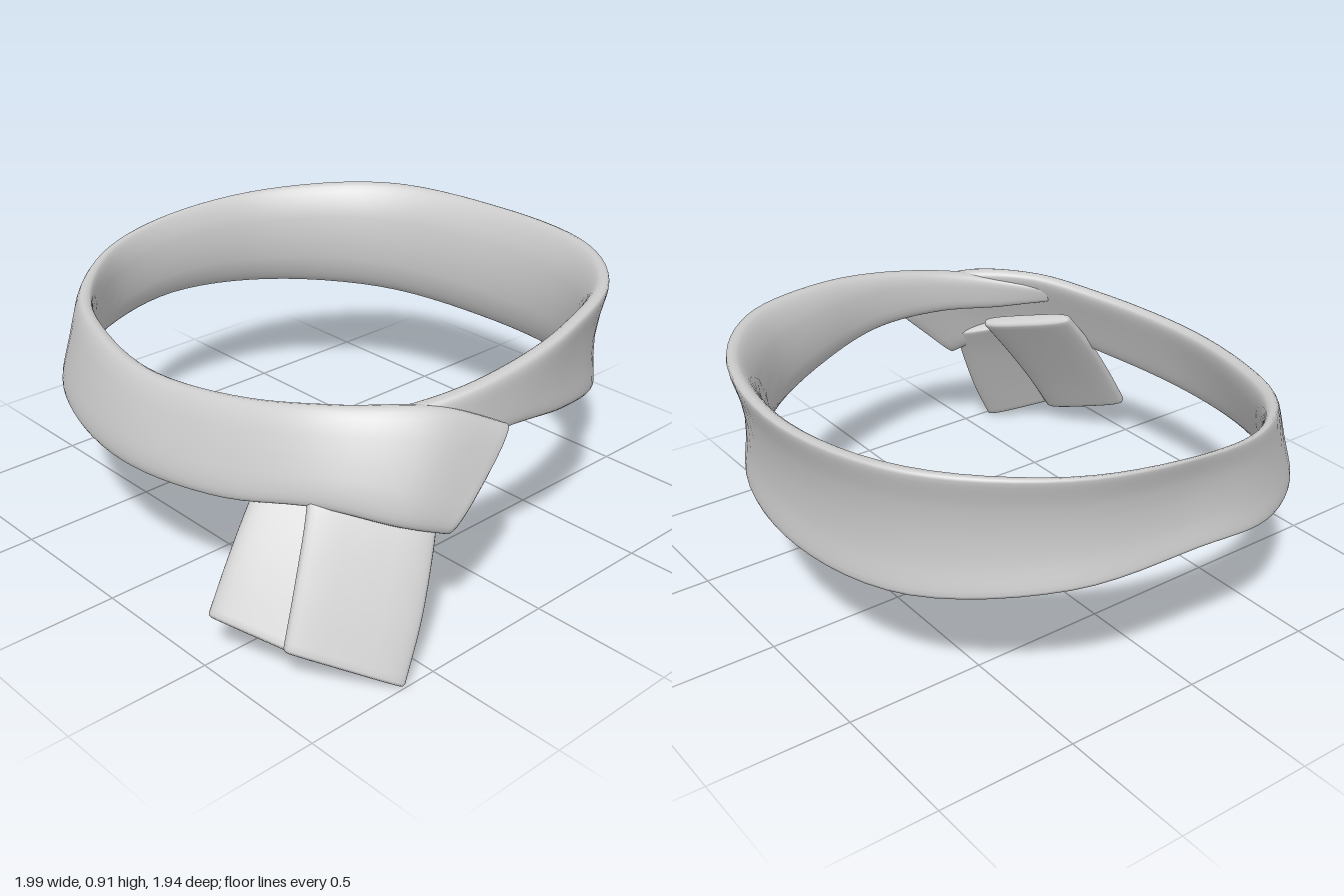
import * as THREE from 'three';

const SIDES = 28;
const material = new THREE.MeshStandardMaterial({ color: 0xcccccc, side: THREE.DoubleSide });
const power = (v, p) => Math.sign(v) * Math.abs(v) ** p;

// Lofts a soft flat strip. Each key: upper edge xyz, lower edge xyz,
// then optionally the hollow of the outer face and the half thickness.
function strip(name, keys, half, steps) {
  const curve = (o) => new THREE.CatmullRomCurve3(keys.map((k) => new THREE.Vector3(k[o], k[o + 1], k[o + 2])));
  const upper = curve(0), lower = curve(3);
  const blend = (u, slot, fallback) => {
    const f = u * (keys.length - 1), i = Math.min(Math.floor(f), keys.length - 2);
    return THREE.MathUtils.lerp(keys[i][slot] ?? fallback, keys[i + 1][slot] ?? fallback, f - i);
  };
  // Rings as [position, width scale, thickness scale]; the ends close with a small rounding
  const e = 0.12 / steps;
  const rings = [[0, 0, 0], [0, 0.94, 0.5], [e, 0.98, 0.85]];
  for (let i = 0; i <= steps; i++) rings.push([Math.min(Math.max(i / steps, 3 * e), 1 - 3 * e), 1, 1]);
  rings.push([1 - e, 0.98, 0.85], [1, 0.94, 0.5], [1, 0, 0]);

  const pos = [], index = [];
  for (const [u, w, s] of rings) {
    const a = upper.getPoint(u), b = lower.getPoint(u);
    const mid = a.clone().add(b).multiplyScalar(0.5);
    const d = a.clone().sub(b).multiplyScalar(0.5);
    const n = upper.getTangent(u).add(lower.getTangent(u)).cross(d).normalize();
    const hollow = blend(u, 6, 0), thick = blend(u, 7, half) * s;
    for (let j = 0; j < SIDES; j++) {
      const t = (j / SIDES) * Math.PI * 2;
      const v = power(Math.cos(t), 0.6) * w;
      const out = thick * power(Math.sin(t), 0.6) - hollow * (1 - v * v);
      const p = mid.clone().addScaledVector(d, v).addScaledVector(n, out);
      pos.push(p.x, p.y, p.z);
    }
  }
  for (let i = 0; i < rings.length - 1; i++) {
    for (let j = 0; j < SIDES; j++) {
      const k = (j + 1) % SIDES, p = i * SIDES, q = p + SIDES;
      index.push(p + j, p + k, q + j, p + k, q + k, q + j);
    }
  }
  const g = new THREE.BufferGeometry();
  g.setAttribute('position', new THREE.Float32BufferAttribute(pos, 3));
  g.setIndex(index);
  g.computeVertexNormals();
  const mesh = new THREE.Mesh(g, material);
  mesh.name = name;
  return mesh;
}

export function createModel() {
  const group = new THREE.Group();
  group.name = 'scarf';

  // Loop: from the tucked inner end, round the back and left, to the overlapping front end
  group.add(strip('neckLoop', [
    [0.55, 0.74, 0.61, 0.56, 0.68, 0.62, 0, 0.02],
    [0.71, 0.77, 0.46, 0.72, 0.64, 0.47],
    [0.82, 0.81, 0.24, 0.82, 0.64, 0.25, 0.005],
    [0.855, 0.85, -0.02, 0.85, 0.63, -0.02, 0.01],
    [0.825, 0.88, -0.28, 0.815, 0.58, -0.27, 0.025],
    [0.69, 0.90, -0.63, 0.67, 0.50, -0.61, 0.04],
    [0.39, 0.90, -0.875, 0.38, 0.45, -0.845, 0.05],
    [-0.09, 0.89, -0.96, -0.09, 0.43, -0.925, 0.055],
    [-0.585, 0.90, -0.83, -0.575, 0.45, -0.81, 0.055],
    [-0.90, 0.88, -0.45, -0.90, 0.49, -0.44, 0.05, 0.025],
    [-0.985, 0.85, -0.02, -0.985, 0.52, 0.00, 0.04, 0.017],
    [-0.92, 0.81, 0.31, -0.945, 0.48, 0.34, 0.025, 0.022],
    [-0.70, 0.77, 0.57, -0.74, 0.45, 0.64, 0.01],
    [-0.40, 0.75, 0.70, -0.43, 0.44, 0.80],
    [-0.05, 0.74, 0.755, -0.05, 0.435, 0.86, -0.01],
    [0.33, 0.76, 0.685, 0.36, 0.46, 0.80, -0.01],
    [0.62, 0.79, 0.54, 0.66, 0.50, 0.67, -0.01],
    [0.81, 0.78, 0.31, 0.85, 0.45, 0.51, -0.015, 0.045],
    [0.89, 0.67, 0.08, 0.92, 0.40, 0.37, -0.01, 0.048],
  ], 0.036, 110));

  // Hanging ends, tucked up behind the overlap
  group.add(strip('outerTail', [
    [0.60, 0.60, 0.65, 0.88, 0.50, 0.37],
    [0.65, 0.48, 0.71, 0.92, 0.37, 0.43],
    [0.70, 0.30, 0.80, 0.965, 0.18, 0.52],
    [0.74, 0.12, 0.885, 0.995, -0.005, 0.62],
  ], 0.028, 20));
  group.add(strip('innerTail', [
    [0.43, 0.65, 0.61, 0.73, 0.58, 0.41],
    [0.44, 0.49, 0.74, 0.75, 0.41, 0.55],
    [0.46, 0.32, 0.86, 0.77, 0.24, 0.68],
    [0.48, 0.155, 0.965, 0.79, 0.065, 0.80],
  ], 0.028, 20));
  return group;
}
